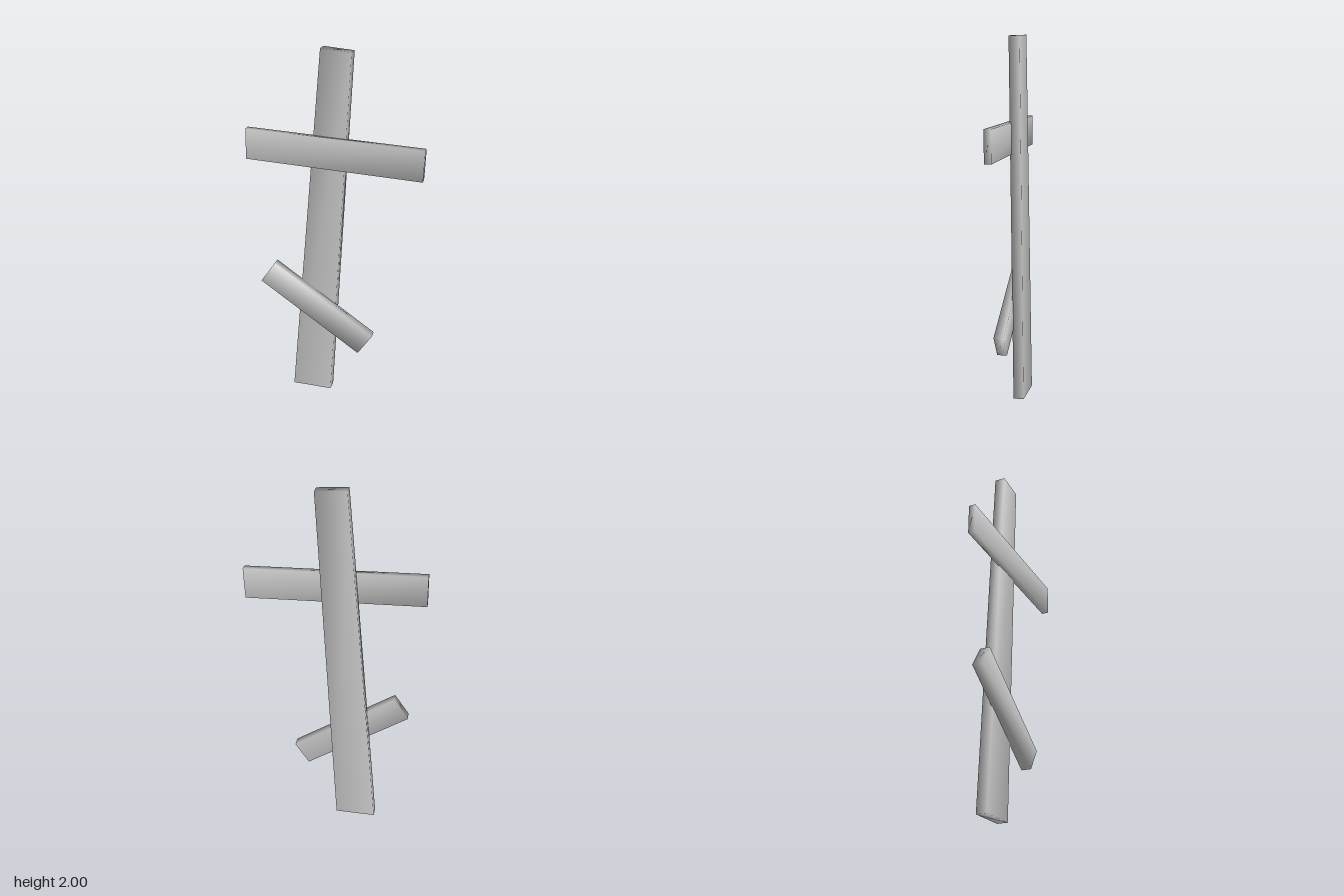
import * as THREE from 'three';
import { mergeVertices } from 'three/addons/utils/BufferGeometryUtils.js';

const material = new THREE.MeshStandardMaterial({ color: 0xcccccc });

// Plank from four front corners (top left, top right, bottom left, bottom right)
// and its back and front depth, with normals shared across the edges.
function plank(name, corners, back, front) {
  const geometry = new THREE.BoxGeometry(1, 1, 1);
  const p = geometry.attributes.position;
  for (let i = 0; i < p.count; i++) {
    const corner = corners[(p.getY(i) > 0 ? 0 : 2) + (p.getX(i) > 0 ? 1 : 0)];
    p.setXYZ(i, corner[0], corner[1], p.getZ(i) > 0 ? front : back);
  }
  geometry.deleteAttribute('normal');
  geometry.deleteAttribute('uv');
  const smooth = mergeVertices(geometry);
  smooth.computeVertexNormals();
  const mesh = new THREE.Mesh(smooth, material);
  mesh.name = name;
  return mesh;
}

export function createModel() {
  const group = new THREE.Group();
  group.name = 'slantedCross';
  group.add(
    // leaning post, wider at the foot
    plank('post', [[-0.074, 2], [0.087, 1.988], [-0.249, 0], [-0.025, 0]], -0.054, 0.004),
    // nearly level upper beam
    plank('upperBeam', [[-0.477, 1.563], [0.477, 1.53], [-0.48, 1.397], [0.471, 1.363]], -0.004, 0.033),
    // steep lower beam
    plank('lowerBeam', [[-0.333, 0.803], [0.228, 0.425], [-0.413, 0.687], [0.15, 0.307]], -0.001, 0.053)
  );
  return group;
}
